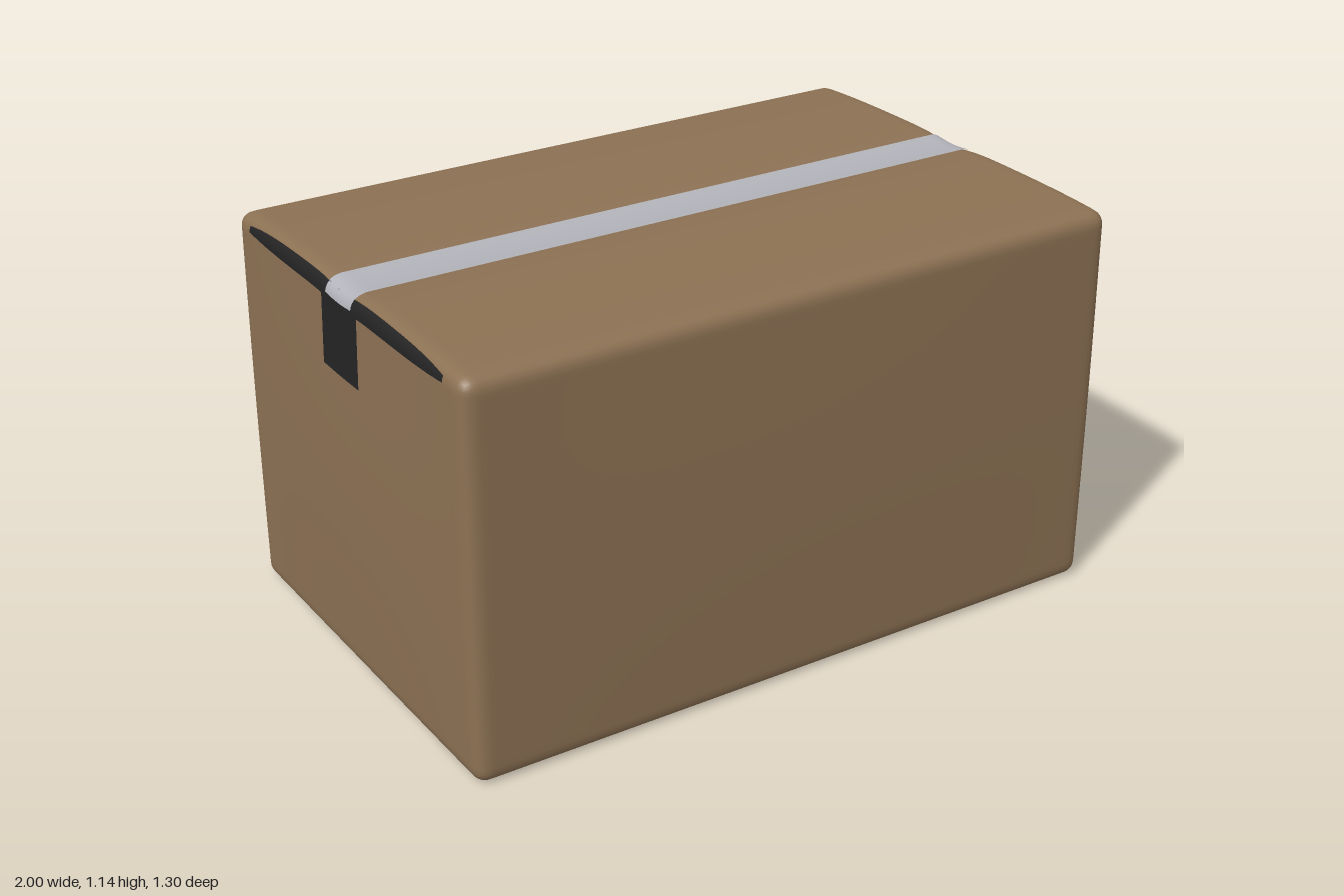
import * as THREE from 'three';
import { mergeVertices } from 'three/addons/utils/BufferGeometryUtils.js';

const X = 0.986, Y = 1.137, Z = 0.642, R = 0.04; // half width, height, half depth, edge radius

// Soft wrinkles pressed into the cardboard, fading out from a centre
function wrinkle(u, v, cu, cv, ru, rv) {
  const fade = Math.max(0, 1 - ((u - cu) / ru) ** 2 - ((v - cv) / rv) ** 2);
  const a = u * 62 + 2.2 * Math.sin(v * 23 + 1) + 1.3 * Math.sin(u * 17);
  const b = v * 58 + 2.4 * Math.sin(u * 19) + 1.1 * Math.sin(v * 13 + 2);
  return 0.003 * fade * Math.sin(a) * Math.sin(b);
}

// Moves a point from a sharp box onto the rounded, slightly bulging carton
function wrap(p, lift = 0) {
  const core = new THREE.Vector3(
    THREE.MathUtils.clamp(p.x, -X + R, X - R),
    THREE.MathUtils.clamp(p.y, R, Y - R),
    THREE.MathUtils.clamp(p.z, -Z + R, Z - R));
  const dir = p.clone().sub(core).normalize();
  p.copy(core).addScaledVector(dir, R + lift);
  const { x, y, z } = p;
  const belly = Math.sin(Math.PI * THREE.MathUtils.clamp(y / Y, 0, 1));
  p.x *= 1 + 0.012 * belly * Math.cos(z * 2.2);
  p.z *= 1 + 0.012 * belly * Math.cos(x * 1.5);
  // flaps crown in the middle and sag along the seam
  const top = THREE.MathUtils.clamp(y / Y, 0, 1) ** 8;
  p.y -= top * (0.014 * (z / Z) ** 4 + 0.012 * Math.exp(-((z / 0.09) ** 2)));
  if (dir.x > 0.9) p.x += wrinkle(z, y, -0.08, 0.6, 0.5, 0.34);
  if (dir.z < -0.9) p.z -= wrinkle(x, y, -0.05, 0.62, 0.85, 0.5);
  return p;
}

function wrapGeometry(geometry, lift) {
  const pos = geometry.attributes.position, p = new THREE.Vector3();
  for (let i = 0; i < pos.count; i++) {
    wrap(p.fromBufferAttribute(pos, i), lift);
    pos.setXYZ(i, p.x, p.y, p.z);
  }
  geometry.deleteAttribute('uv');
  geometry.deleteAttribute('normal');
  const merged = mergeVertices(geometry, 1e-5);
  merged.computeVertexNormals();
  return merged;
}

export function createModel() {
  const model = new THREE.Group();
  model.name = 'cardboardBox';
  const material = (name, color) => {
    const m = new THREE.MeshStandardMaterial({ color });
    m.name = name;
    return m;
  };
  const cardboard = material('cardboard', 0x8c7153);
  const greyTape = material('greyTape', 0xb2b3ba);
  const black = material('black', 0x242424);

  function add(parent, name, geometry, mat) {
    const mesh = new THREE.Mesh(geometry, mat);
    mesh.name = name;
    parent.add(mesh);
  }

  // Thin patch following a face; a and b are ranges along the face
  function patch(parent, name, mat, face, a, b, lift = 0.003, shape) {
    const w = a[1] - a[0], h = b[1] - b[0], ca = (a[0] + a[1]) / 2, cb = (b[0] + b[1]) / 2;
    const g = new THREE.PlaneGeometry(w, h, Math.ceil(w / 0.02), Math.ceil(h / 0.01));
    if (shape) {
      const pos = g.attributes.position;
      for (let i = 0; i < pos.count; i++) pos.setY(i, shape(pos.getX(i), pos.getY(i)));
    }
    if (face === 'top') g.rotateX(-Math.PI / 2).translate(ca, Y, cb);
    if (face === 'left') g.rotateY(Math.PI / 2).translate(X, cb, ca);
    if (face === 'right') g.rotateY(-Math.PI / 2).translate(-X, cb, ca);
    if (face === 'back') g.rotateY(Math.PI).translate(ca, cb, -Z);
    add(parent, name, wrapGeometry(g, lift), mat);
  }

  // Carton body
  const body = new THREE.BoxGeometry(2 * X, Y, 2 * Z, 130, 74, 84).translate(0, Y / 2, 0);
  add(model, 'carton', wrapGeometry(body, 0), cardboard);

  // Tape along the seam, folded over both ends
  const tape = new THREE.Group();
  tape.name = 'tape';
  model.add(tape);
  patch(tape, 'seamTape', greyTape, 'top', [-X, X], [-0.075, 0.07], 0.004);
  for (const end of ['left', 'right']) {
    patch(tape, end + 'TapeFold', greyTape, end, [-0.072, 0.072], [1.1, Y], 0.006);
    patch(tape, end + 'TapeTab', black, end, [-0.1, 0.1], [0.89, Y - 0.01], 0.004);
    // dark gap under the flaps, tapering at its ends
    patch(tape, end + 'FlapGap', black, end, [-0.55, 0.55], [1.085, Y], 0.003,
      (u, v) => v * (1 - 0.65 * Math.abs(u / 0.55) ** 5) - 0.004 * Math.abs(u / 0.55));
  }

  // Printed strokes low on the left end
  const strokes = new THREE.Group();
  strokes.name = 'printedStrokes';
  model.add(strokes);
  const marks = [
    [[0.53, 0.552], [0.155, 0.235]], [[0.487, 0.53], [0.155, 0.18]], [[0.487, 0.508], [0.18, 0.235]],
    [[0.41, 0.438], [0.153, 0.243]], [[0.342, 0.364], [0.157, 0.243]], [[0.28, 0.305], [0.153, 0.245]],
  ];
  marks.forEach(([a, b], i) => patch(strokes, 'stroke' + (i + 1), black, 'left', a, b));

  // Handling symbol low on the back
  const symbol = new THREE.Group();
  symbol.name = 'handlingSymbol';
  model.add(symbol);
  patch(symbol, 'symbolPlate', black, 'back', [0.64, 0.86], [0.13, 0.42]);
  patch(symbol, 'symbolStem', cardboard, 'back', [0.738, 0.778], [0.225, 0.385], 0.006);
  patch(symbol, 'symbolFoot', cardboard, 'back', [0.7, 0.79], [0.175, 0.192], 0.006);

  return model;
}
